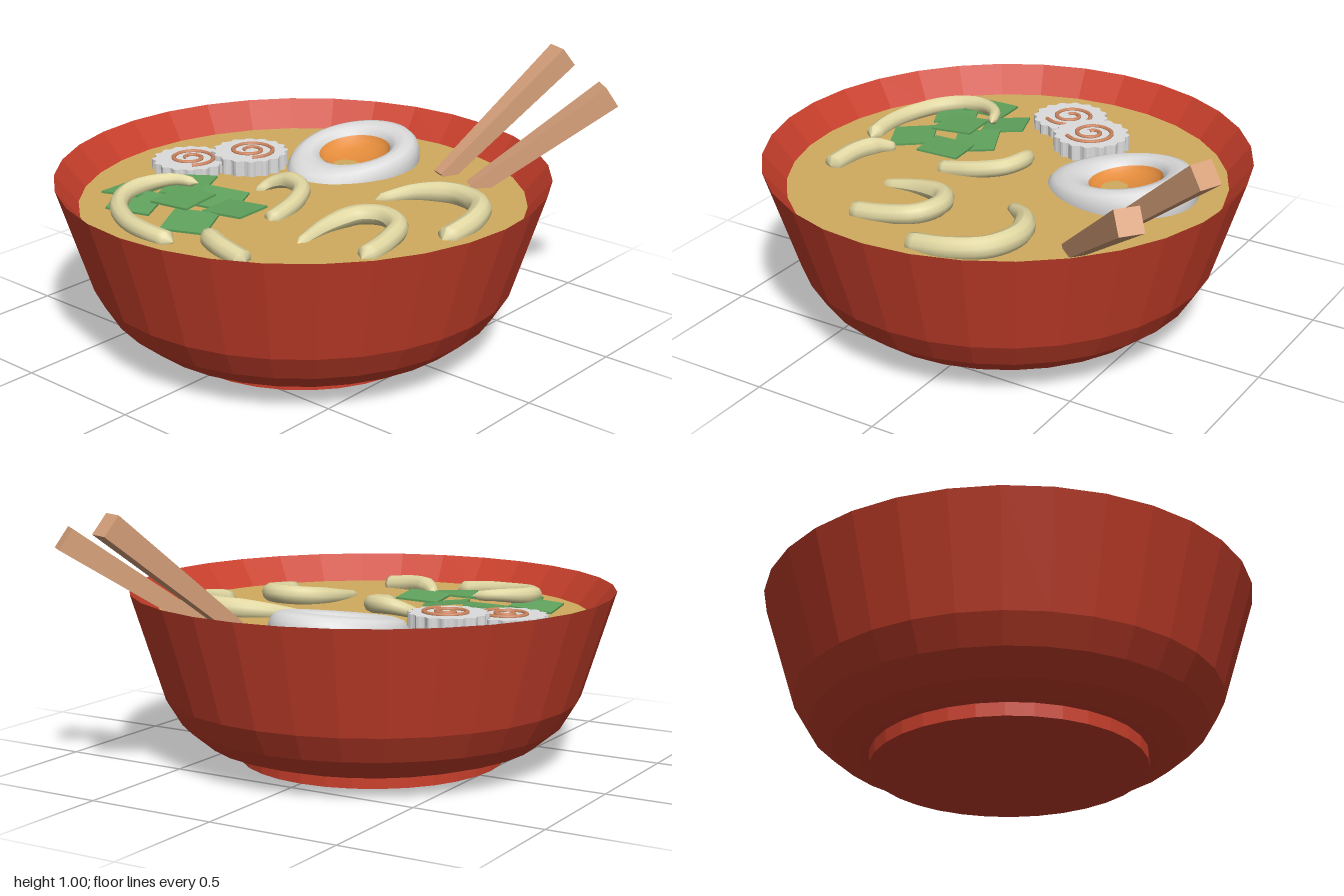
import * as THREE from 'three';

const mat = (name, color) => {
  const m = new THREE.MeshStandardMaterial({ color });
  m.name = name;
  return m;
};

// Faceted normals: every triangle keeps its own
function faceted(geo) {
  const g = geo.index ? geo.toNonIndexed() : geo;
  g.computeVertexNormals();
  return g;
}

// Smooth surface through closed rings of equal point count
function loft(rings) {
  const n = rings[0].length, pos = rings.flat(2), index = [];
  for (let r = 0; r < rings.length - 1; r++) {
    for (let i = 0; i < n; i++) {
      const a = r * n + i, b = r * n + (i + 1) % n;
      index.push(a, b, a + n, b, b + n, a + n);
    }
  }
  const g = new THREE.BufferGeometry();
  g.setAttribute('position', new THREE.Float32BufferAttribute(pos, 3));
  g.setIndex(index);
  g.computeVertexNormals();
  return g;
}

// Round noodle along a path, thin at its start and closed at both ends
function noodleGeometry(points, radius) {
  const curve = new THREE.CatmullRomCurve3(points.map(p => new THREE.Vector3(...p)));
  const N = 28, R = 10;
  const g = new THREE.TubeGeometry(curve, N, radius, R);
  const p = g.attributes.position, v = new THREE.Vector3();
  for (let i = 0; i <= N; i++) {
    const c = curve.getPointAt(i / N);
    const f = i === 0 || i === N ? 0 : Math.min(1, 0.5 + 1.6 * i / N);
    for (let j = 0; j <= R; j++) {
      const k = i * (R + 1) + j;
      v.fromBufferAttribute(p, k).sub(c).multiplyScalar(f).add(c);
      p.setXYZ(k, v.x, v.y, v.z);
    }
  }
  g.computeVertexNormals();
  return g;
}

export function createModel() {
  const model = new THREE.Group();
  model.name = 'noodleSoupBowl';

  const red = mat('bowlRed', 0xcb402c);
  const broth = mat('brothGold', 0xd2ac5e);
  const white = mat('eggWhite', 0xdcdcdc);
  const yolkOrange = mat('yolkOrange', 0xe48c3c);
  const wood = mat('chopstickWood', 0xd9a27c);
  const swirl = mat('swirlBrown', 0xcd8660);
  const green = mat('leafGreen', 0x60a35d);
  const cream = mat('noodleCream', 0xe0d7a2);

  const add = (name, geo, material, parent = model) => {
    const m = new THREE.Mesh(geo, material);
    m.name = name;
    parent.add(m);
    return m;
  };

  const CZ = 0.07, SOUP = 0.55;

  // Bowl with foot, flared wall and sharp rim
  const profile = [
    [0, 0], [0.51, 0], [0.51, 0.05], [0.55, 0.05], [0.645, 0.08], [0.735, 0.155],
    [0.795, 0.255], [0.92, 0.655], [0.83, SOUP - 0.005],
  ].map(p => new THREE.Vector2(...p));
  add('bowl', faceted(new THREE.LatheGeometry(profile, 32)), red).position.z = CZ;

  // Broth surface
  const soup = add('broth', new THREE.CircleGeometry(0.834, 32), broth);
  soup.rotation.x = -Math.PI / 2;
  soup.position.set(0, SOUP, CZ);

  // Half egg, pointed toward the front and raised at the back
  const egg = new THREE.Group();
  egg.name = 'egg';
  egg.position.set(-0.12, 0.6, -0.37);
  egg.rotation.x = 0.15;
  model.add(egg);
  const eggRing = ([w, y]) => Array.from({ length: 40 }, (_, i) => {
    const a = i / 40 * Math.PI * 2, s = Math.sin(a), c = Math.cos(a);
    const ox = 0.24 * s * (c > 0 ? 1 - 0.1 * c * c : 1), oz = c * (c > 0 ? 0.325 : 0.275);
    return [THREE.MathUtils.lerp(0.138 * s, ox, w), y, THREE.MathUtils.lerp(0.138 * c, oz, w)];
  });
  const eggProfile = [
    [0.85, -0.14], [0.97, -0.08], [1, -0.04], [0.95, -0.008], [0.8, 0.015],
    [0.55, 0.025], [0.25, 0.018], [0.05, 0], [0, -0.025],
  ];
  add('eggWhite', loft(eggProfile.map(eggRing)), white, egg);
  // Hollow yolk
  const dish = [[0.14, -0.005], [0.125, -0.025], [0.09, -0.04], [0.045, -0.048], [0, -0.05]]
    .map(p => new THREE.Vector2(...p)).reverse();
  const yolkGeo = new THREE.LatheGeometry(dish, 32);
  yolkOrange.side = THREE.DoubleSide;
  add('yolk', yolkGeo, yolkOrange, egg);

  // Scalloped fish cake slices with a raised spiral
  const edge = Array.from({ length: 96 }, (_, i) => {
    const a = i / 96 * Math.PI * 2, r = 0.143 + 0.007 * Math.cos(a * 16);
    return new THREE.Vector2(r * Math.cos(a), r * Math.sin(a));
  });
  const sliceGeo = new THREE.ExtrudeGeometry(new THREE.Shape(edge), { depth: 0.065, bevelEnabled: false });
  sliceGeo.rotateX(-Math.PI / 2);
  const spiral = new THREE.CatmullRomCurve3(Array.from({ length: 24 }, (_, i) => {
    const t = i / 23, a = -0.75 + t * Math.PI * 3.7, r = 0.1 - 0.085 * t;
    return new THREE.Vector3(r * Math.cos(a), 0.066, -r * Math.sin(a));
  }));
  const spiralGeo = new THREE.TubeGeometry(spiral, 70, 0.009, 6);
  [[-0.4, 0.545, -0.065], [-0.55, 0.525, 0.115]].forEach((p, i) => {
    const cake = new THREE.Group();
    cake.name = 'fishCake' + (i + 1);
    cake.position.set(...p);
    add('fishCakeSlice', sliceGeo, white, cake);
    add('fishCakeSpiral', spiralGeo, swirl, cake);
    model.add(cake);
  });

  // Leaf squares: x, y, z, turn, tilt x, tilt z
  const leafGeo = new THREE.BoxGeometry(0.17, 0.008, 0.17);
  [
    [-0.365, 0.575, 0.31, 0.38, 0.1, 0.05],
    [-0.18, 0.57, 0.33, 0.4, 0.1, -0.12],
    [-0.05, 0.577, 0.385, 0.13, -0.05, 0.06],
    [-0.25, 0.588, 0.45, 0.1, 0.04, 0.03],
    [-0.5, 0.568, 0.465, 0.14, -0.06, 0.1],
    [-0.39, 0.57, 0.555, 0.4, 0.12, -0.1],
    [-0.095, 0.57, 0.57, 0.45, 0.1, -0.06],
  ].forEach(([x, y, z, turn, tx, tz], i) => {
    const leaf = add('leaf' + (i + 1), leafGeo, green);
    leaf.position.set(x, y, z);
    leaf.rotation.set(tx, turn, tz);
  });

  // Noodles arching out of the broth
  [
    [0.042, [[0.22, 0.545, -0.08], [0.32, 0.57, -0.2], [0.465, 0.58, -0.262], [0.6, 0.58, -0.22], [0.66, 0.57, -0.1], [0.66, 0.545, 0.08]]],
    [0.038, [[0.3, 0.545, 0.44], [0.29, 0.565, 0.26], [0.33, 0.58, 0.14], [0.42, 0.585, 0.1], [0.51, 0.58, 0.14], [0.55, 0.565, 0.26], [0.56, 0.55, 0.4]]],
    [0.034, [[-0.18, 0.54, 0.14], [-0.155, 0.57, 0.08], [-0.085, 0.59, 0.05], [0, 0.585, 0.08], [0.055, 0.57, 0.18], [0.075, 0.545, 0.34]]],
    [0.034, [[-0.29, 0.605, 0.33], [-0.38, 0.61, 0.37], [-0.44, 0.6, 0.46], [-0.44, 0.59, 0.56], [-0.38, 0.58, 0.65], [-0.26, 0.57, 0.715], [-0.14, 0.565, 0.735], [-0.02, 0.555, 0.725]]],
    [0.038, [[0.01, 0.555, 0.58], [0.07, 0.57, 0.635], [0.15, 0.57, 0.67], [0.29, 0.555, 0.69]]],
  ].forEach(([r, pts], i) => add('noodle' + (i + 1), noodleGeometry(pts, r), cream));

  // Square tapered chopsticks leaning over the back rim
  [
    [[0.235, 0.54, -0.47], [0.445, 0.967, -0.96]],
    [[0.405, 0.54, -0.44], [0.735, 0.89, -0.84]],
  ].forEach(([a, b], i) => {
    const from = new THREE.Vector3(...a), to = new THREE.Vector3(...b);
    const len = from.distanceTo(to);
    const g = new THREE.BoxGeometry(1, 1, len), p = g.attributes.position;
    for (let k = 0; k < p.count; k++) {
      const w = p.getZ(k) > 0 ? 0.09 : 0.055;
      p.setXY(k, p.getX(k) * w, p.getY(k) * w);
    }
    const stick = add('chopstick' + (i + 1), faceted(g), wood);
    stick.position.copy(from).lerp(to, 0.5);
    stick.lookAt(to);
  });

  return model;
}
